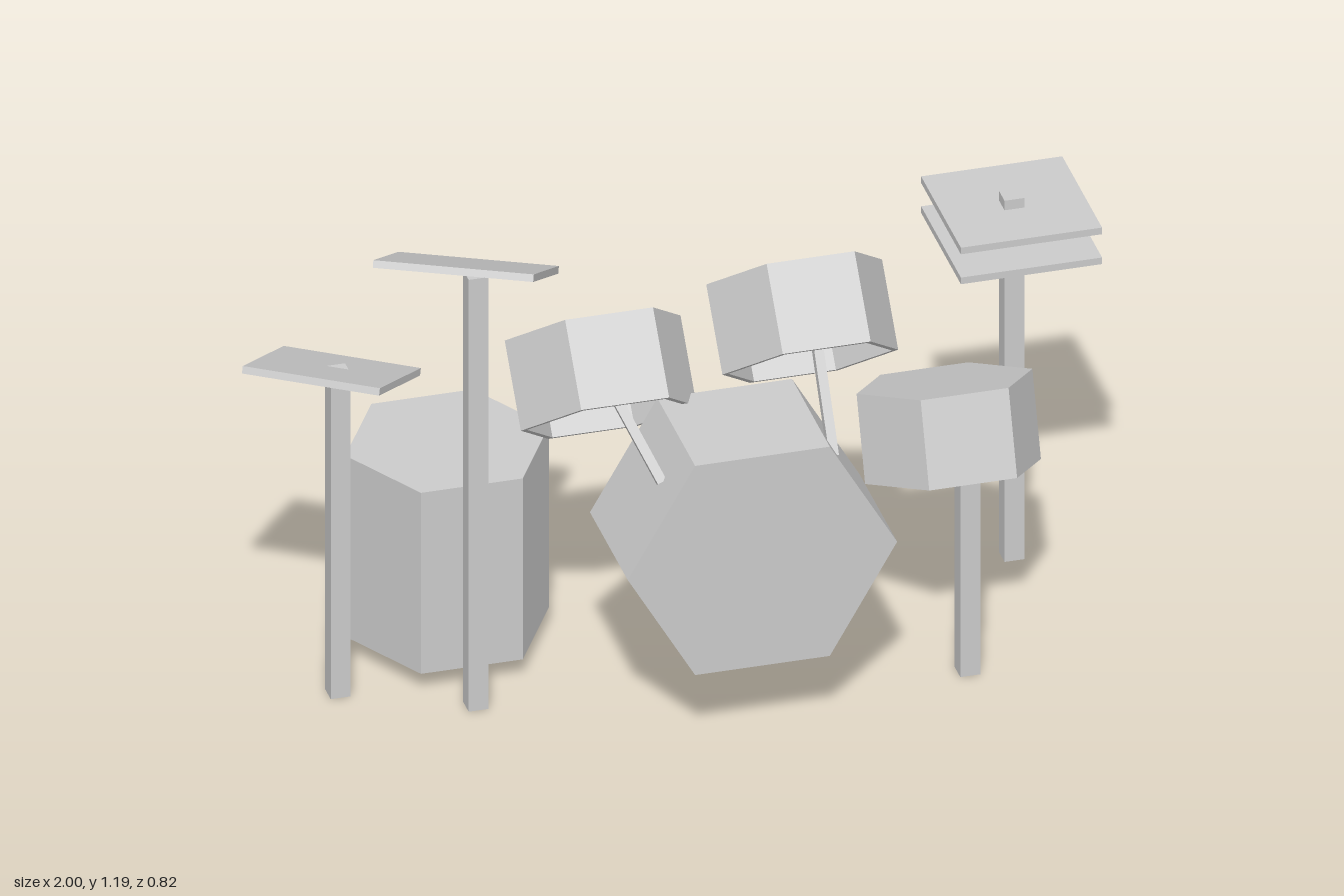
import * as THREE from 'three';

const material = new THREE.MeshStandardMaterial({ color: 0xcccccc, flatShading: true });

export function createModel() {
  const model = new THREE.Group();
  const rad = THREE.MathUtils.degToRad;

  const add = (name, geometry, x, y, z) => {
    const mesh = new THREE.Mesh(geometry, material);
    mesh.name = name;
    mesh.position.set(x, y, z);
    model.add(mesh);
    return mesh;
  };

  // Six-sided drum shell, closed on top and open below, tilted back
  const drum = (name, radius, height, x, y, z, tilt = 0) => {
    const wall = 0.014, h = height / 2;
    const profile = [
      [0, h - wall], [radius - wall, h - wall], [radius - wall, -h],
      [radius, -h], [radius, h], [0, h],
    ].map(([r, py]) => new THREE.Vector2(r, py));
    const shell = new THREE.LatheGeometry(profile, 6, Math.PI / 2);
    add(name, shell, x, y, z).rotation.x = rad(-tilt);
  };

  // Square upright post standing on the floor
  const stand = (name, x, z, height) =>
    add(name, new THREE.BoxGeometry(0.046, height, 0.046), x, height / 2, z);

  // Thin square plate, turned about the vertical and then tilted
  const cymbal = (name, size, x, y, z, turn = 0, tilt = 0) =>
    add(name, new THREE.BoxGeometry(size, 0.017, size), x, y, z)
      .rotation.set(rad(-tilt), rad(-turn), 0, 'YXZ');

  // Slim square rod between two points
  const rod = (name, from, to) => {
    const a = new THREE.Vector3(...from), b = new THREE.Vector3(...to);
    const dir = b.clone().sub(a), mid = a.add(b).multiplyScalar(0.5);
    add(name, new THREE.BoxGeometry(0.022, dir.length(), 0.022), mid.x, mid.y, mid.z)
      .quaternion.setFromUnitVectors(new THREE.Vector3(0, 1, 0), dir.normalize());
  };

  // Bass drum lying on its side
  const bass = new THREE.CylinderGeometry(0.311, 0.311, 0.31, 6, 1, false, Math.PI / 2);
  add('bassDrum', bass.rotateX(Math.PI / 2), 0.08, 0.465, 0.254);

  // Floor tom, snare and the two rack toms
  drum('floorTom', 0.235, 0.466, -0.475, 0.282, -0.206);
  drum('snareDrum', 0.203, 0.205, 0.6, 0.549, 0.09, 20);
  drum('leftRackTom', 0.203, 0.206, 0.26, 0.888, 0.096, 40);
  drum('rightRackTom', 0.203, 0.206, -0.187, 0.778, 0.031, 40);

  // Rods holding the rack toms on the bass drum
  rod('leftTomRod', [0.257, 0.68, 0.36], [0.257, 0.97, 0.18]);
  rod('rightTomRod', [-0.125, 0.645, 0.31], [-0.222, 0.86, 0.175]);

  // Upright stands
  stand('snareStand', 0.603, 0.233, 0.6);
  stand('hiHatStand', 0.835, -0.228, 0.93);
  stand('crashStand', -0.49, 0.083, 1.112);
  stand('rideStand', -0.77, -0.053, 0.832);

  // Cymbals
  cymbal('hiHatTop', 0.326, 0.837, 0.897, -0.236);
  cymbal('hiHatBottom', 0.326, 0.837, 0.82, -0.236);
  cymbal('crashCymbal', 0.362, -0.497, 1.098, 0.026, 25.7, 27);
  cymbal('rideCymbal', 0.32, -0.782, 0.825, -0.064, 33.5, 21);

  return model;
}
